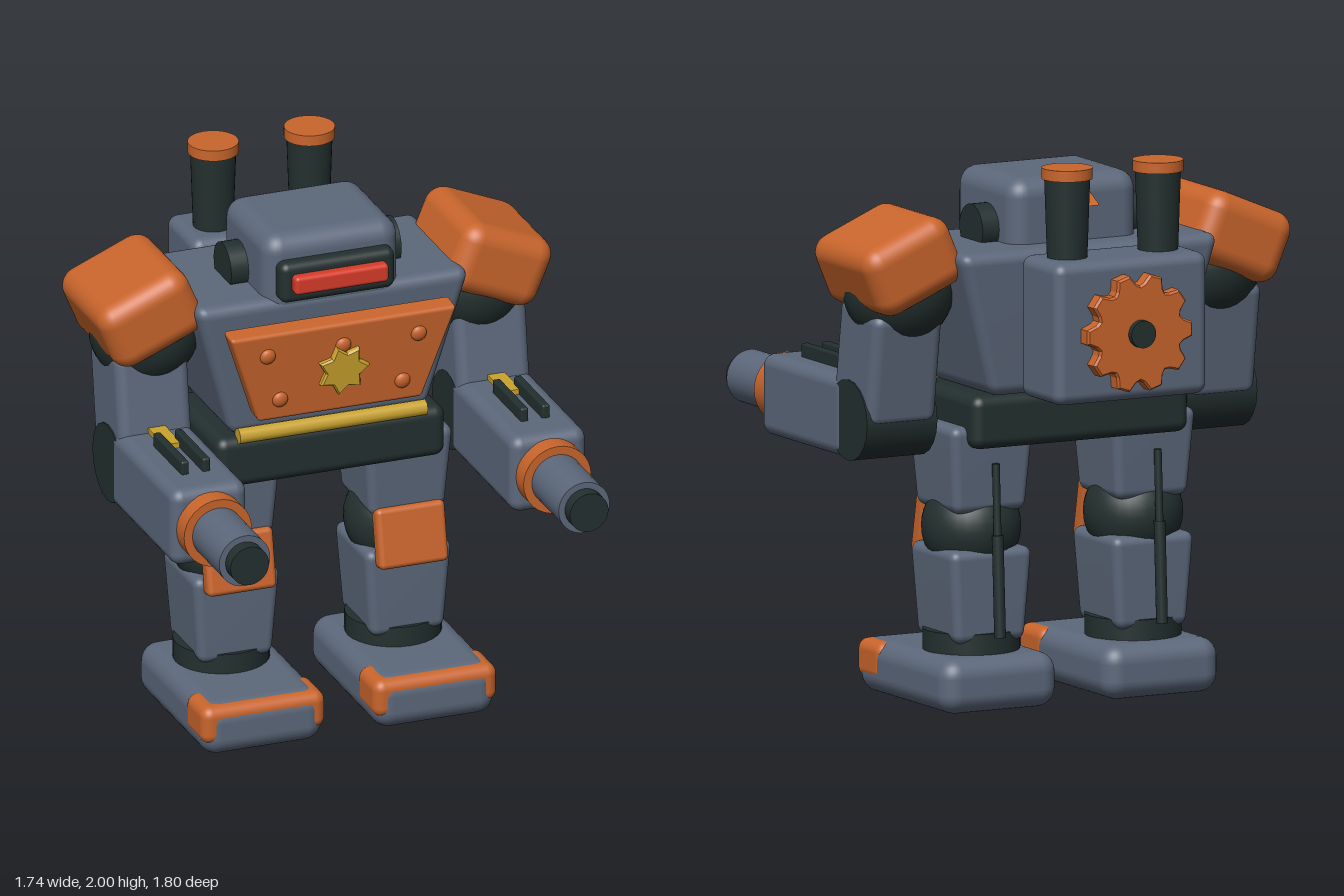
import * as THREE from 'three';
import { RoundedBoxGeometry } from 'three/addons/geometries/RoundedBoxGeometry.js';
import { mergeVertices } from 'three/addons/utils/BufferGeometryUtils.js';

const paint = (name, color) => {
  const m = new THREE.MeshStandardMaterial({ color });
  m.name = name;
  return m;
};

export function createModel() {
  const slate = paint('slate', 0x5c687b);
  const orange = paint('orange', 0xc9652c);
  const dark = paint('dark', 0x23302f);
  const yellow = paint('yellow', 0xcba42d);
  const red = paint('red', 0xd83c2a);

  const robot = new THREE.Group();
  robot.name = 'robot';

  const add = (parent, name, geo, mat, x, y, z) => {
    const mesh = new THREE.Mesh(geo, mat);
    mesh.name = name;
    mesh.position.set(x, y, z);
    parent.add(mesh);
    return mesh;
  };
  const group = (name, x = 0, y = 0, z = 0) => {
    const g = new THREE.Group();
    g.name = name;
    g.position.set(x, y, z);
    robot.add(g);
    return g;
  };
  const rbox = (w, h, d, r) => new RoundedBoxGeometry(w, h, d, 4, r);
  // Rounded box whose lower end is scaled by bx, bz
  const taperBox = (w, h, d, r, bx, bz) => {
    let g = rbox(w, h, d, r);
    g.deleteAttribute('uv');
    g.deleteAttribute('normal');
    g = mergeVertices(g, 1e-5);
    const p = g.attributes.position;
    for (let i = 0; i < p.count; i++) {
      const t = 0.5 - p.getY(i) / h;
      p.setX(i, p.getX(i) * (1 + (bx - 1) * t));
      p.setZ(i, p.getZ(i) * (1 + (bz - 1) * t));
    }
    g.computeVertexNormals();
    return g;
  };
  const cylX = (r, len, n = 24) => new THREE.CylinderGeometry(r, r, len, n).rotateZ(Math.PI / 2);
  const cylZ = (r, len, n = 32) => new THREE.CylinderGeometry(r, r, len, n).rotateX(Math.PI / 2);

  // Torso, waist and belt bar
  add(robot, 'torso', taperBox(1.06, 0.53, 0.57, 0.045, 0.71, 0.84), slate, 0, 1.415, -0.225);
  add(robot, 'pelvis', rbox(0.88, 0.195, 0.48, 0.04), dark, 0, 1.052, -0.2);
  add(robot, 'beltBar', cylX(0.03, 0.72, 8), yellow, 0, 1.157, 0.03);

  // Chest plate with rivets and star
  const chest = group('chest', 0, 1.42, 0.095);
  chest.rotation.x = 0.11;
  add(chest, 'chestPlate', taperBox(0.87, 0.355, 0.085, 0.015, 0.72, 1), orange, 0, 0, 0);
  for (const [x, y] of [[-0.29, 0.09], [0, 0.09], [0.29, 0.09], [-0.235, -0.095], [0.235, -0.095]]) {
    const rivet = add(chest, 'rivet', new THREE.SphereGeometry(0.03, 16, 10), orange, x, y, 0.042);
    rivet.scale.z = 0.6;
  }
  const star = new THREE.Shape();
  for (let i = 0; i < 14; i++) {
    const a = (i * Math.PI) / 7 + 0.07;
    const r = i % 2 ? 0.062 : 0.092;
    star[i ? 'lineTo' : 'moveTo'](r * Math.cos(a), r * Math.sin(a));
  }
  star.closePath();
  const starGeo = new THREE.ExtrudeGeometry(star, {
    depth: 0.015, bevelThickness: 0.008, bevelSize: 0.006, bevelSegments: 1,
  });
  add(chest, 'star', starGeo, yellow, 0, -0.005, 0.042);

  // Head
  add(robot, 'head', rbox(0.52, 0.32, 0.45, 0.07), slate, 0, 1.755, -0.17);
  add(robot, 'visorFrame', rbox(0.44, 0.155, 0.1, 0.03), dark, 0, 1.752, 0.055);
  add(robot, 'visor', rbox(0.36, 0.07, 0.06, 0.015), red, 0, 1.755, 0.112);
  const fin = new THREE.Shape();
  fin.moveTo(0.32, 1.895);
  fin.lineTo(0.475, 1.815);
  fin.lineTo(0.32, 1.81);
  fin.closePath();
  const finGeo = new THREE.ExtrudeGeometry(fin, { depth: 0.1, bevelEnabled: false });
  finGeo.translate(0, 0, -0.05).rotateY(Math.PI / 2);
  add(robot, 'headFin', finGeo, orange, 0, 0, 0);

  // Backpack with cog
  add(robot, 'backpack', rbox(0.62, 0.515, 0.285, 0.04), slate, 0, 1.417, -0.675);
  const cog = new THREE.Shape();
  const teeth = 10;
  for (let i = 0; i < teeth; i++) {
    // each tooth has a flat tip and a scooped valley
    [[-0.16, 0.208], [0.16, 0.208], [0.32, 0.176], [0.5, 0.165], [0.68, 0.176]].forEach(([t, r], k) => {
      const a = ((i + t) * 2 * Math.PI) / teeth;
      cog[i + k ? 'lineTo' : 'moveTo'](r * Math.cos(a), r * Math.sin(a));
    });
  }
  cog.closePath();
  const cogGeo = new THREE.ExtrudeGeometry(cog, {
    depth: 0.045, bevelThickness: 0.01, bevelSize: 0.007, bevelSegments: 1,
  });
  add(robot, 'cog', cogGeo, orange, 0, 1.412, -0.865);
  add(robot, 'cogHub', cylZ(0.05, 0.06), dark, 0, 1.412, -0.868);

  for (const s of [-1, 1]) {
    const side = s > 0 ? 'left' : 'right';

    // Ear and exhaust stack
    add(robot, side + 'Ear', cylX(0.088, 0.1), dark, s * 0.277, 1.722, -0.205);
    add(robot, side + 'Stack', new THREE.CylinderGeometry(0.083, 0.072, 0.32, 32), dark, s * 0.185, 1.81, -0.663);
    add(robot, side + 'StackCap', new THREE.CylinderGeometry(0.092, 0.092, 0.04, 32), orange, s * 0.185, 1.98, -0.663);

    // Arm
    const arm = group(side + 'Arm', s * 0.652);
    const pad = add(arm, 'shoulderPad', rbox(0.37, 0.266, 0.465, 0.07), orange, s * 0.018, 1.637, -0.215);
    pad.rotation.z = -s * 0.4;
    add(arm, 'shoulder', new THREE.SphereGeometry(0.2, 32, 20), dark, -s * 0.025, 1.525, -0.21);
    const upper = add(arm, 'upperArm', rbox(0.28, 0.42, 0.29, 0.04), slate, -s * 0.002, 1.265, -0.175);
    upper.rotation.x = -0.15;
    add(arm, 'elbow', cylX(0.147, 0.286, 20), dark, 0, 1.053, -0.14);
    add(arm, 'forearm', rbox(0.292, 0.295, 0.62, 0.045), slate, 0, 1.053, 0.205);
    add(arm, 'barrelRing', cylZ(0.13, 0.075), orange, 0, 1.053, 0.548);
    add(arm, 'barrel', cylZ(0.098, 0.34), slate, 0, 1.053, 0.68);
    add(arm, 'muzzle', cylZ(0.074, 0.1), dark, 0, 1.053, 0.85);
    add(arm, 'forearmTab', new THREE.BoxGeometry(0.065, 0.04, 0.16), yellow, 0, 1.2, 0.06);
    for (const x of [-0.041, 0.041]) {
      add(arm, 'forearmRail', rbox(0.03, 0.07, 0.285, 0.008), dark, x, 1.215, 0.228);
    }

    // Leg
    const leg = group(side + 'Leg', s * 0.33, 0, -0.21);
    add(leg, 'thigh', taperBox(0.34, 0.32, 0.35, 0.035, 0.85, 0.88), slate, 0, 0.872, 0);
    add(leg, 'knee', new THREE.SphereGeometry(0.18, 32, 20), dark, 0, 0.645, 0);
    add(leg, 'shin', taperBox(0.335, 0.34, 0.335, 0.035, 0.84, 0.93), slate, 0, 0.41, 0);
    const kneePad = add(leg, 'kneePad', rbox(0.265, 0.225, 0.065, 0.02), orange, 0, 0.635, 0.168);
    kneePad.rotation.x = -0.2;
    add(leg, 'ankle', new THREE.CylinderGeometry(0.175, 0.175, 0.09, 32), dark, 0, 0.23, 0);
    add(leg, 'foot', rbox(0.47, 0.2, 0.685, 0.07), slate, 0, 0.1, 0.098);
    add(leg, 'toeCap', rbox(0.475, 0.145, 0.19, 0.04), orange, 0, 0.122, 0.341);

    // Piston behind the leg
    const rod = add(leg, 'pistonRod', new THREE.CylinderGeometry(0.014, 0.014, 0.3, 12), dark, 0, 0.745, -0.193);
    const tube = add(leg, 'pistonTube', new THREE.CylinderGeometry(0.021, 0.021, 0.37, 12), dark, 0, 0.452, -0.208);
    rod.rotation.x = tube.rotation.x = 0.05;
  }
  return robot;
}
